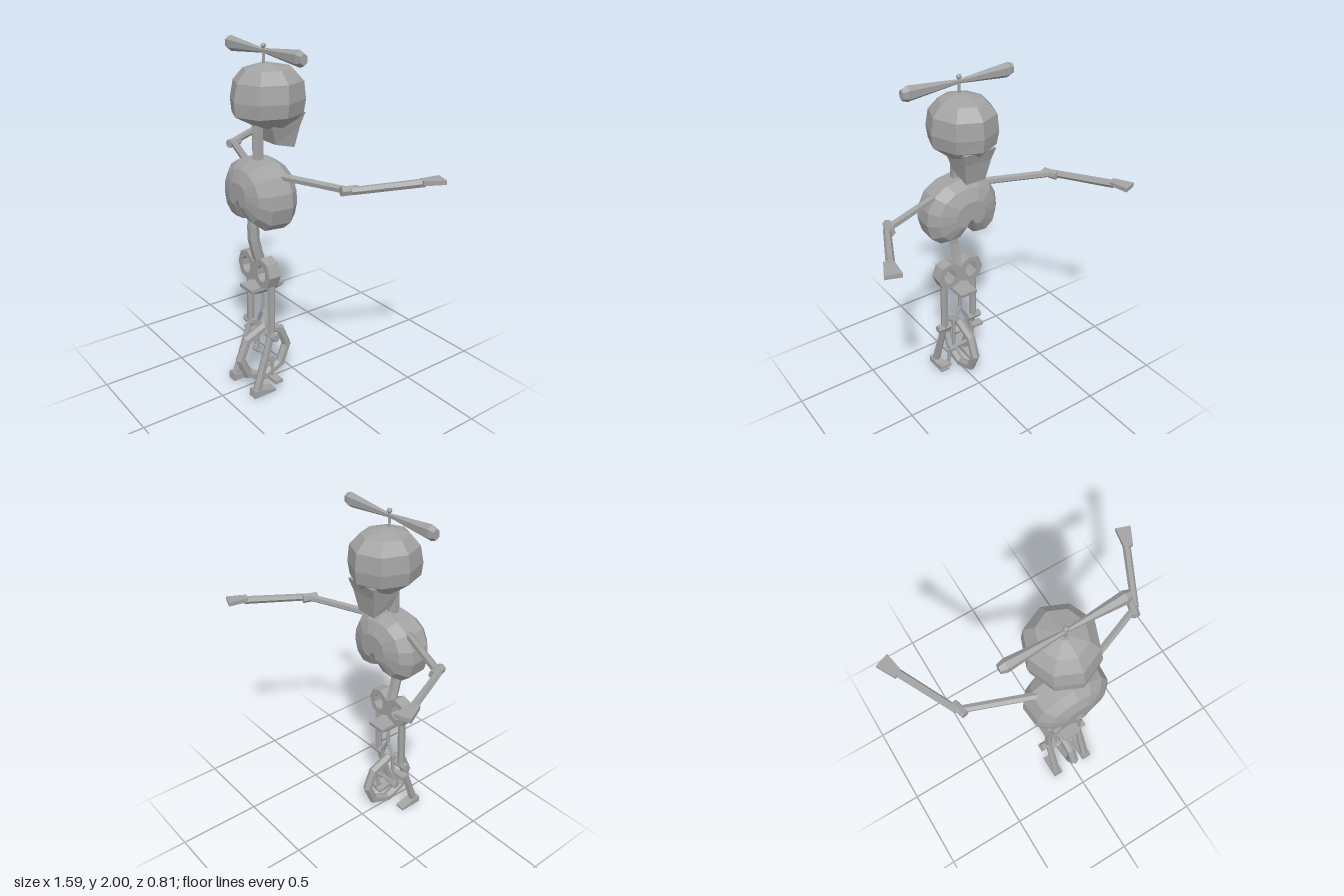
import * as THREE from 'three';

const bone = new THREE.MeshStandardMaterial({ color: 0xa3a3a3, flatShading: true });
bone.name = 'bone grey';
const V = (x, y, z) => new THREE.Vector3(x, y, z);

export function createModel() {
  const model = new THREE.Group();
  model.name = 'unicycleSkeleton';

  const add = (name, geo, x = 0, y = 0, z = 0) => {
    const mesh = new THREE.Mesh(geo, bone);
    mesh.name = name;
    mesh.position.set(x, y, z);
    model.add(mesh);
    return mesh;
  };

  // Tapered rod between two points
  const rod = (name, a, b, ra, rb = ra, sides = 6) => {
    const dir = b.clone().sub(a);
    const mesh = add(name, new THREE.CylinderGeometry(rb, ra, dir.length(), sides));
    mesh.position.copy(a).add(b).multiplyScalar(0.5);
    mesh.quaternion.setFromUnitVectors(V(0, 1, 0), dir.normalize());
    return mesh;
  };

  // Closed faceted skin over rings of points, capped with a fan at each end
  const loft = (rings) => {
    const pos = [];
    const tri = (...pts) => pts.forEach((p) => pos.push(p.x, p.y, p.z));
    const mid = (r) => r.reduce((s, p) => s.add(p), V(0, 0, 0)).divideScalar(r.length);
    const n = rings[0].length, first = rings[0], last = rings[rings.length - 1];
    for (let i = 0; i < n; i++) {
      const j = (i + 1) % n;
      for (let k = 0; k < rings.length - 1; k++) {
        const a = rings[k], b = rings[k + 1];
        tri(a[i], a[j], b[j]);
        tri(a[i], b[j], b[i]);
      }
      tri(mid(first), first[j], first[i]);
      tri(mid(last), last[i], last[j]);
    }
    const geo = new THREE.BufferGeometry();
    geo.setAttribute('position', new THREE.Float32BufferAttribute(pos, 3));
    geo.computeVertexNormals();
    return geo;
  };

  // Four-cornered ring: half width, back z and height, front z and height
  const quad = (hx, zb, yb, zf, yf) => [V(hx, yb, zb), V(hx, yf, zf), V(-hx, yf, zf), V(-hx, yb, zb)];

  // Skull: octagonal rings [y, half width, front z, back z]
  const skull = [
    [1.56, 0.085, 0.03, 0.22], [1.635, 0.182, -0.04, 0.36], [1.71, 0.195, -0.05, 0.365],
    [1.805, 0.182, -0.04, 0.345], [1.868, 0.125, 0.02, 0.29], [1.895, 0.03, 0.14, 0.2],
  ].map(([y, rx, zf, zb]) => Array.from({ length: 8 }, (_, i) => {
    const a = (i / 8) * Math.PI * 2;
    return V(Math.sin(a) * rx, y, (zf + zb) / 2 + Math.cos(a) * (zb - zf) / 2);
  }));
  add('skull', loft(skull));
  add('jaw', loft([
    quad(0.062, 0.155, 1.47, 0.03, 1.437),
    quad(0.085, 0.185, 1.56, 0.008, 1.56),
    quad(0.1, 0.185, 1.63, -0.015, 1.63),
  ]));
  rod('neck', V(0, 1.36, 0.225), V(0, 1.6, 0.225), 0.033);

  // Propeller on the skull
  rod('propellerShaft', V(0, 1.88, 0.18), V(0, 1.98, 0.18), 0.008);
  add('propellerKnob', new THREE.IcosahedronGeometry(0.016, 0), 0, 1.982, 0.18);
  for (const s of [-1, 1]) {
    const blade = [[0, 0.012], [0.31, 0.043], [0.343, 0.03]];
    const rings = blade.map(([d, r]) => Array.from({ length: 6 }, (_, i) => {
      const a = (i / 6) * Math.PI * 2;
      return V(Math.sin(a) * r * 0.75, d, Math.cos(a) * r);
    }));
    const mesh = add('propellerBlade', loft(rings), 0, 1.957, 0.18);
    mesh.rotation.set(Math.PI / 2, 0, -s * Math.PI / 2, 'ZYX');
    mesh.quaternion.setFromRotationMatrix(new THREE.Matrix4().makeBasis(
      V(0, 0, 1), V(s, 0, 0), V(0, s, 0)));
  }

  // Rib cage: half outline with an arch underneath, mirrored and domed along z
  const half = [[0.035, 1.1], [0.07, 1.035], [0.15, 1.03], [0.212, 1.08], [0.237, 1.17],
    [0.228, 1.25], [0.185, 1.335], [0.1, 1.385]];
  const outline = [[0, 1.12], ...half, [0, 1.4], ...half.slice().reverse().map(([x, y]) => [-x, y])];
  const ribs = [[0.072, 0.4], [0.105, 0.8], [0.165, 1], [0.285, 0.96], [0.335, 0.72], [0.363, 0.35]];
  add('ribCage', loft(ribs.map(([z, s]) =>
    outline.map(([x, y]) => V(x * s, 1.22 + (y - 1.22) * s, z)))));

  // Curved spine
  const spine = new THREE.CatmullRomCurve3(
    [V(0, 1.16, 0.24), V(0, 1.04, 0.263), V(0, 0.93, 0.262), V(0, 0.79, 0.225)]);
  add('spine', new THREE.TubeGeometry(spine, 5, 0.033, 6));

  // Pelvis: two joined octagons with holes
  const rim = [[0, 0.8], [0.065, 0.84], [0.13, 0.822], [0.158, 0.75], [0.13, 0.683], [0.07, 0.665], [0, 0.695]];
  const pelvis = new THREE.Shape([...rim, ...rim.slice(1, -1).reverse().map(([x, y]) => [-x, y])]
    .map(([x, y]) => new THREE.Vector2(x, y)));
  for (const s of [-1, 1]) {
    pelvis.holes.push(new THREE.Path(Array.from({ length: 8 }, (_, i) => {
      const a = ((i + 0.5) / 8) * Math.PI * 2;
      return new THREE.Vector2(s * 0.077 + Math.cos(a) * 0.041, 0.753 + Math.sin(a) * 0.051);
    })));
  }
  add('pelvis', new THREE.ExtrudeGeometry(pelvis, { depth: 0.075, bevelEnabled: false }), 0, 0, 0.192);

  for (const s of [-1, 1]) {
    // Arm with a flat flared hand
    const elbow = V(s * 0.55, 1.328, 0.04), wrist = V(s * 0.718, 1.35, -0.3);
    rod('upperArm', V(s * 0.12, 1.328, 0.205), elbow, 0.022);
    rod('elbow', V(s * 0.525, 1.328, 0.085), V(s * 0.55, 1.328, -0.002), 0.026);
    rod('forearm', elbow, wrist, 0.021, 0.023);
    const palm = [[0.692, -0.29], [0.74, -0.268], [0.795, -0.375], [0.712, -0.405]];
    const hand = new THREE.Shape(palm.map(([x, z]) => new THREE.Vector2(s * x, -z)));
    add('hand', new THREE.ExtrudeGeometry(hand, { depth: 0.024, bevelEnabled: false }), 0, 1.344, 0)
      .rotation.x = -Math.PI / 2;

    // Leg bent back at the knee
    rod('thigh', V(s * 0.105, 0.7, 0.22), V(s * 0.107, 0.36, 0.225), 0.023);
    rod('knee', V(s * 0.065, 0.365, 0.225), V(s * 0.158, 0.365, 0.225), 0.024);
    rod('shin', V(s * 0.107, 0.36, 0.23), V(s * 0.112, 0.03, 0.335), 0.021, 0.026);
    add('foot', loft([quad(0.03, 0.367, 0.005, 0.22, 0.005),
      quad(0.03, 0.362, 0.05, 0.22, 0.02)]), s * 0.112);

    // Fork arm of the unicycle
    rod('forkShoulder', V(0, 0.485, 0.21), V(s * 0.045, 0.4, 0.21), 0.011);
    rod('forkArm', V(s * 0.045, 0.405, 0.21), V(s * 0.055, 0.18, 0.21), 0.011);
    rod('axleCap', V(s * 0.045, 0.188, 0.21), V(s * 0.09, 0.188, 0.21), 0.023);

    // Crank and pedal: one side up, the other down
    const py = s < 0 ? 0.3 : 0.073;
    rod('crank', V(s * 0.09, 0.188, 0.21), V(s * 0.09, py, 0.21), 0.01);
    add('pedal', new THREE.BoxGeometry(0.075, 0.02, 0.05), s * 0.125, py, 0.21);
  }

  // Wheel, axle, seat post and seat
  const wheel = add('wheel', new THREE.TorusGeometry(0.163, 0.029, 6, 8), 0, 0.198, 0.208);
  wheel.rotation.y = Math.PI / 2;
  rod('axle', V(-0.09, 0.188, 0.21), V(0.09, 0.188, 0.21), 0.012);
  rod('seatPost', V(0, 0.475, 0.21), V(0, 0.63, 0.21), 0.011);
  add('seat', loft([
    quad(0.042, 0.255, 0.613, 0.155, 0.613),
    quad(0.058, 0.322, 0.635, 0.105, 0.635),
    quad(0.058, 0.325, 0.657, 0.102, 0.657),
  ]));

  return model;
}
